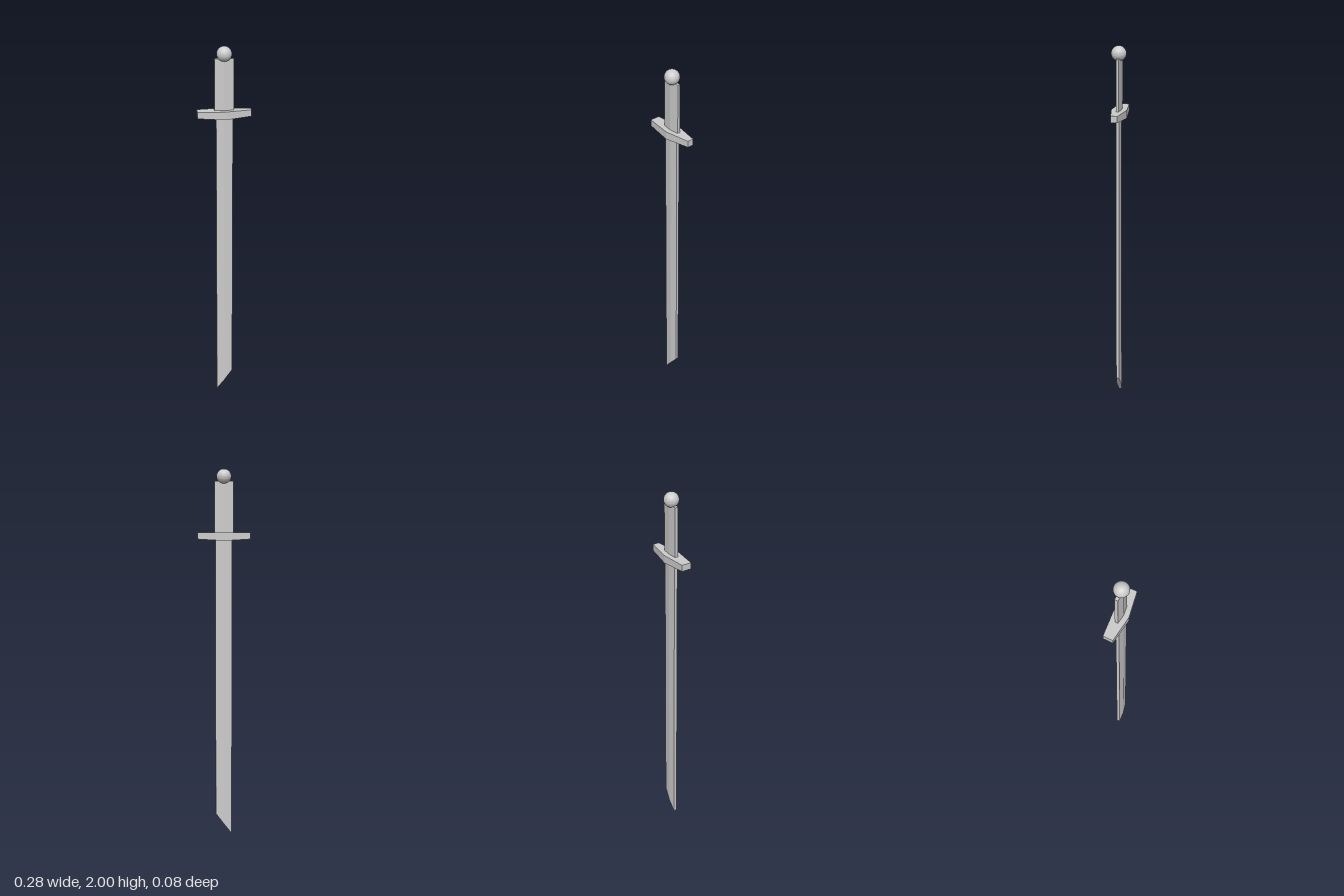
import * as THREE from 'three';

const material = new THREE.MeshStandardMaterial({ color: 0xcccccc, flatShading: true });

// Upright prism over a six-sided plan, given as [x, zBack, zFront] stations;
// bottomAt(x) shapes the underside.
function hexPrism(name, stations, top, bottomAt) {
  const plan = [
    ...stations.map(([x, back]) => new THREE.Vector2(x, -back)),
    ...stations.map(([x, , front]) => new THREE.Vector2(x, -front)).reverse(),
  ];
  const geometry = new THREE.ExtrudeGeometry(new THREE.Shape(plan), { depth: 1, bevelEnabled: false });
  geometry.rotateX(-Math.PI / 2);
  const p = geometry.attributes.position;
  for (let i = 0; i < p.count; i++) {
    p.setY(i, p.getY(i) > 0.5 ? top : bottomAt(p.getX(i)));
  }
  geometry.computeVertexNormals();
  const mesh = new THREE.Mesh(geometry, material);
  mesh.name = name;
  return mesh;
}

export function createModel() {
  const sword = new THREE.Group();
  sword.name = 'sword';

  // Blade with a shallow central ridge and a slanted tip
  sword.add(hexPrism('blade',
    [[-0.043, -0.01, 0.008], [0, -0.014, 0.012], [0.045, -0.009, 0.006]],
    1.64, (x) => 0.115 * (x + 0.043) / 0.088));

  // Crossguard, widest and deepest at the middle
  sword.add(hexPrism('crossguard',
    [[-0.142, -0.03, 0.024], [0, -0.043, 0.04], [0.142, -0.02, 0.015]],
    1.664, (x) => 1.621 + 0.008 * Math.abs(x) / 0.142));

  // Flat grip
  sword.add(hexPrism('grip',
    [[-0.051, -0.011, 0.006], [0, -0.014, 0.012], [0.051, -0.009, 0.005]],
    1.936, () => 1.64));

  // Ball pommel
  const pommel = new THREE.Mesh(new THREE.SphereGeometry(0.04, 24, 16), material);
  pommel.name = 'pommel';
  pommel.position.y = 1.96;
  sword.add(pommel);

  return sword;
}
